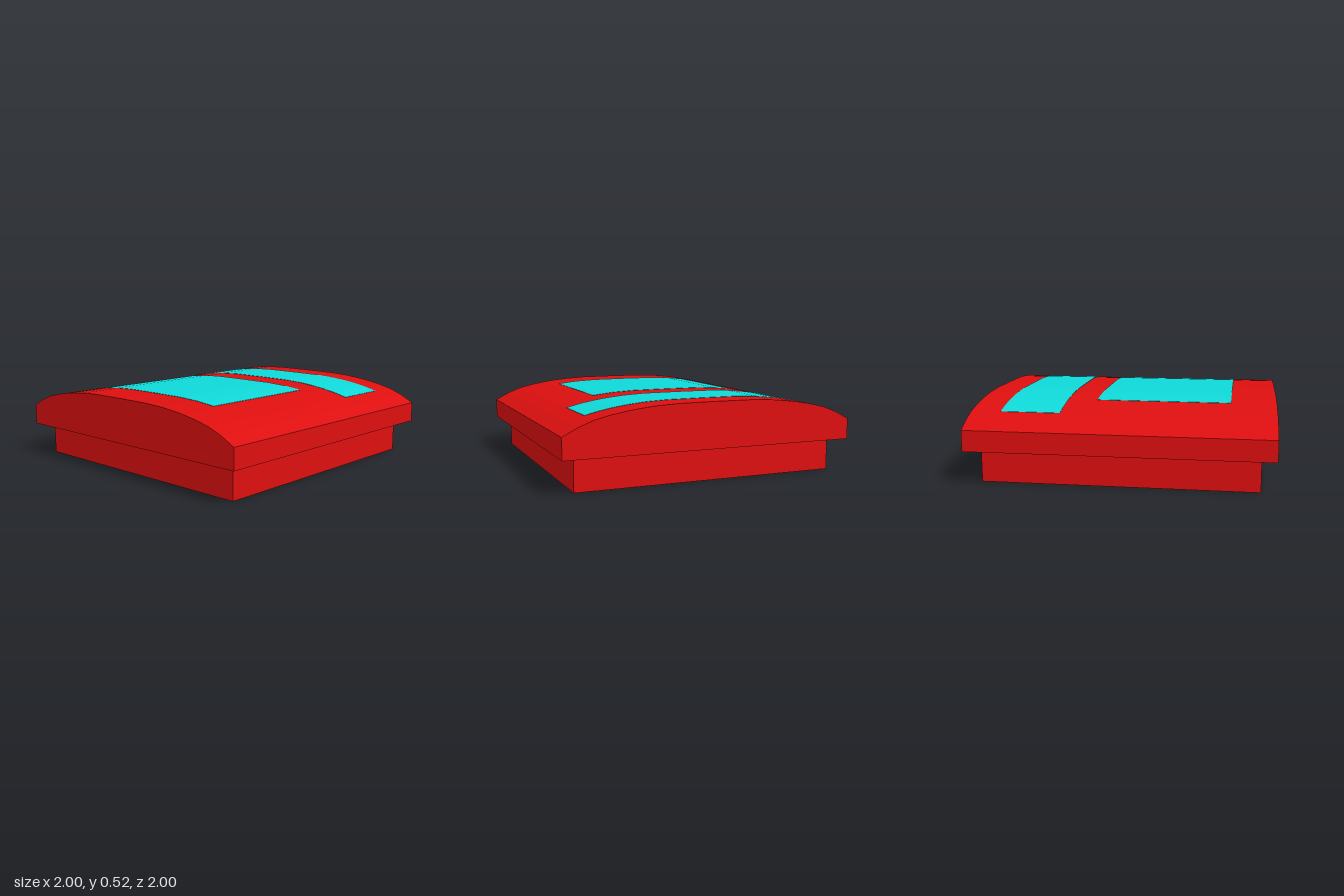
import * as THREE from 'three';

const red = new THREE.MeshStandardMaterial({ color: 0xdd0f0f, flatShading: true });
const cyan = new THREE.MeshStandardMaterial({ color: 0x10d8d8, flatShading: true });

// Half of the roof curve as [distance from centre, height]
const curve = [
  [0, 0.523], [0.25, 0.522], [0.4, 0.515], [0.5, 0.505], [0.55, 0.499], [0.6, 0.492],
  [0.7, 0.474], [0.8, 0.45], [0.9, 0.412], [1, 0.36],
];

// Curved slab spanning x0..x1 and -halfZ..halfZ, its top lifted off the roof curve
function roofSlab(name, material, x0, x1, halfZ, lift, depth) {
  const half = curve.filter(([d]) => d <= halfZ + 1e-6);
  const top = [
    ...half.slice(1).reverse().map(([d, y]) => [-d, y + lift]),
    ...half.map(([d, y]) => [d, y + lift]),
  ];
  const bottom = depth === null
    ? []
    : top.map(([d, y]) => [d, y - depth]).reverse();
  const shape = new THREE.Shape([...top, ...bottom].map(([d, y]) => new THREE.Vector2(d, y)));
  const geometry = new THREE.ExtrudeGeometry(shape, { depth: x1 - x0, bevelEnabled: false });
  geometry.rotateY(Math.PI / 2).translate(x0, 0, 0);
  const mesh = new THREE.Mesh(geometry, material);
  mesh.name = name;
  return mesh;
}

// Closed square outline of a given half width
function square(half, Type) {
  return new Type([[-1, -1], [1, -1], [1, 1], [-1, 1]]
    .map(([x, y]) => new THREE.Vector2(x * half, y * half)));
}

export function createModel() {
  const group = new THREE.Group();
  group.name = 'domedRoof';

  // Square base that rises into the hollow lid
  const base = new THREE.Mesh(new THREE.BoxGeometry(1.81, 0.36, 1.81), red);
  base.name = 'base';
  base.position.y = 0.18;
  group.add(base);

  // Thin skirt around the lid, open underneath
  const outline = square(1, THREE.Shape);
  outline.holes.push(square(0.96, THREE.Path));
  const skirtGeometry = new THREE.ExtrudeGeometry(outline, { depth: 0.14, bevelEnabled: false });
  skirtGeometry.rotateX(-Math.PI / 2).translate(0, 0.22, 0);
  const skirt = new THREE.Mesh(skirtGeometry, red);
  skirt.name = 'lidSkirt';
  group.add(skirt);

  // Curved lid with two glass panels lying on it
  group.add(roofSlab('lidDome', red, -1, 1, 1, 0, null));
  group.add(roofSlab('widePanel', cyan, -0.7, 0.2, 0.55, 0.002, 0.01));
  group.add(roofSlab('narrowPanel', cyan, 0.4, 0.8, 0.8, 0.002, 0.01));

  return group;
}
